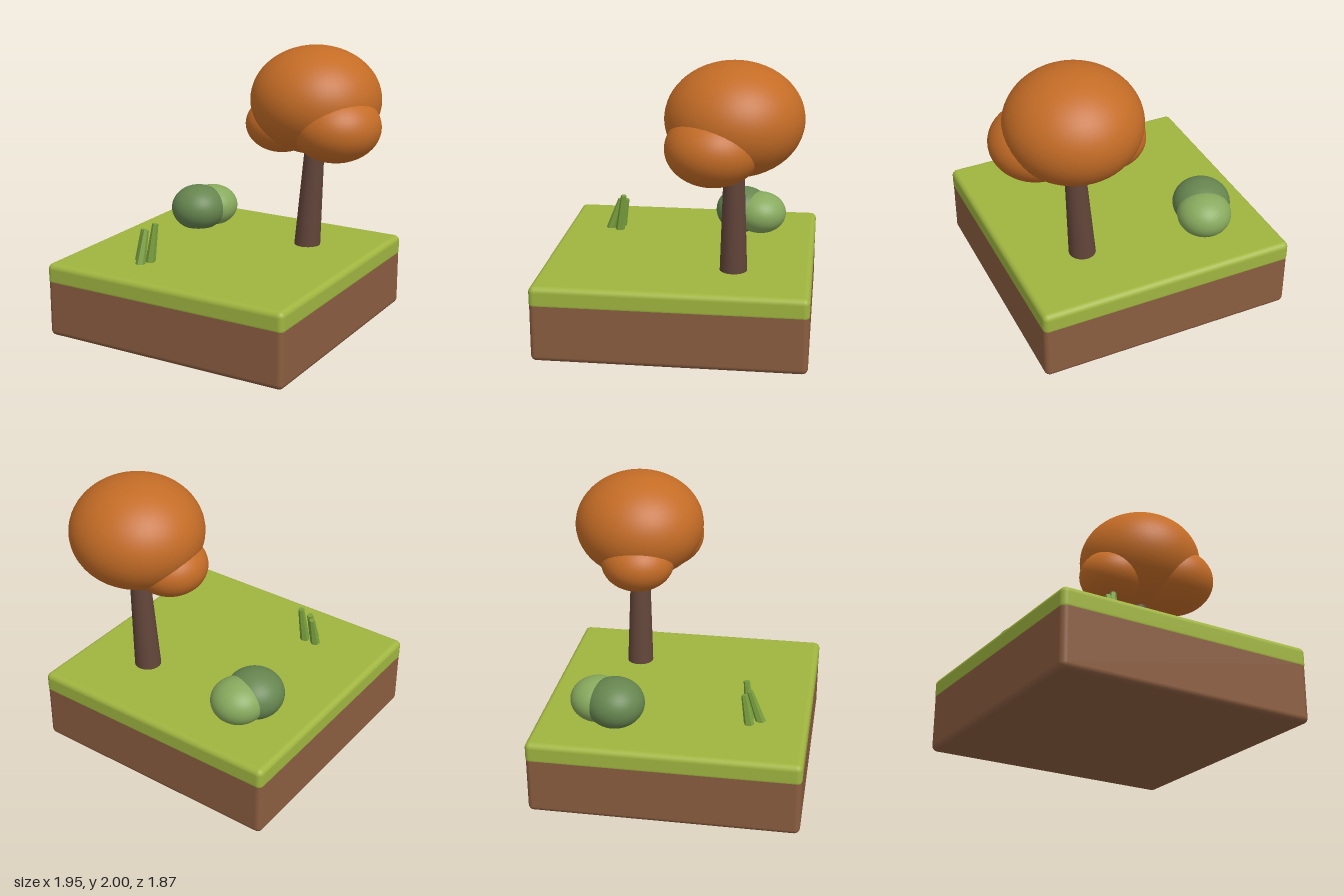
import * as THREE from 'three';
import { RoundedBoxGeometry } from 'three/addons/geometries/RoundedBoxGeometry.js';

const paint = (color, flatShading = false) =>
  new THREE.MeshStandardMaterial({ color, flatShading });

const orange = paint(0xc46c26);
const bark = paint(0x62453a);
const soilBrown = paint(0x8b5d40);
const lawnGreen = paint(0xa0b540);
const bushDark = paint(0x66854f);
const bushLight = paint(0x88aa5e);
const bladeGreen = paint(0x7aa03e, true);

function add(parent, name, geometry, material, position = [0, 0, 0]) {
  const mesh = new THREE.Mesh(geometry, material);
  mesh.name = name;
  mesh.position.set(...position);
  parent.add(mesh);
  return mesh;
}

// Ball squashed in height
function blob(parent, name, material, position, radius, halfHeight) {
  const geometry = new THREE.SphereGeometry(radius, 48, 32);
  geometry.scale(1, halfHeight / radius, 1);
  return add(parent, name, geometry, material, position);
}

// Tapered cylinder running from one point to another
function taper(parent, name, material, from, to, r0, r1, sides) {
  const a = new THREE.Vector3(...from);
  const b = new THREE.Vector3(...to);
  const axis = b.clone().sub(a);
  const geometry = new THREE.CylinderGeometry(r1, r0, axis.length(), sides);
  const mesh = add(parent, name, geometry, material);
  mesh.position.copy(a).add(b).multiplyScalar(0.5);
  mesh.quaternion.setFromUnitVectors(new THREE.Vector3(0, 1, 0), axis.normalize());
  return mesh;
}

function group(parent, name) {
  const g = new THREE.Group();
  g.name = name;
  parent.add(g);
  return g;
}

export function createModel() {
  const model = new THREE.Group();
  model.name = 'gardenTile';

  // Ground: soil block with a lawn slab overlapping its top
  const ground = group(model, 'ground');
  add(ground, 'soil', new RoundedBoxGeometry(1.868, 0.445, 1.868, 5, 0.04),
    soilBrown, [-0.04, 0.2225, 0]);
  add(ground, 'lawn', new RoundedBoxGeometry(1.872, 0.16, 1.872, 5, 0.04),
    lawnGreen, [-0.04, 0.455, 0]);

  // Tree: leaning trunk and three foliage blobs
  const tree = group(model, 'tree');
  taper(tree, 'trunk', bark, [0.383, 0.5, -0.395], [0.44, 1.4, -0.395], 0.096, 0.066, 32);
  blob(tree, 'crown', orange, [0.435, 1.617, -0.395], 0.466, 0.383);
  blob(tree, 'leftFoliage', orange, [0.65, 1.465, -0.275], 0.32, 0.25);
  blob(tree, 'rightFoliage', orange, [0.18, 1.42, -0.365], 0.262, 0.205);

  // Bush: two overlapping blobs
  const bush = group(model, 'bush');
  blob(bush, 'frontBush', bushDark, [-0.553, 0.672, -0.393], 0.206, 0.173);
  blob(bush, 'backBush', bushLight, [-0.507, 0.667, -0.523], 0.192, 0.155);

  // Grass tuft: three blades leaning back
  const tuft = group(model, 'grassTuft');
  const blades = [
    [[-0.465, 0.525, 0.53], [-0.452, 0.75, 0.49]],
    [[-0.41, 0.525, 0.605], [-0.412, 0.76, 0.525]],
    [[-0.376, 0.525, 0.53], [-0.353, 0.807, 0.494]],
  ];
  for (const [from, to] of blades) {
    taper(tuft, 'grassBlade', bladeGreen, from, to, 0.036, 0.022, 6);
  }

  return model;
}
